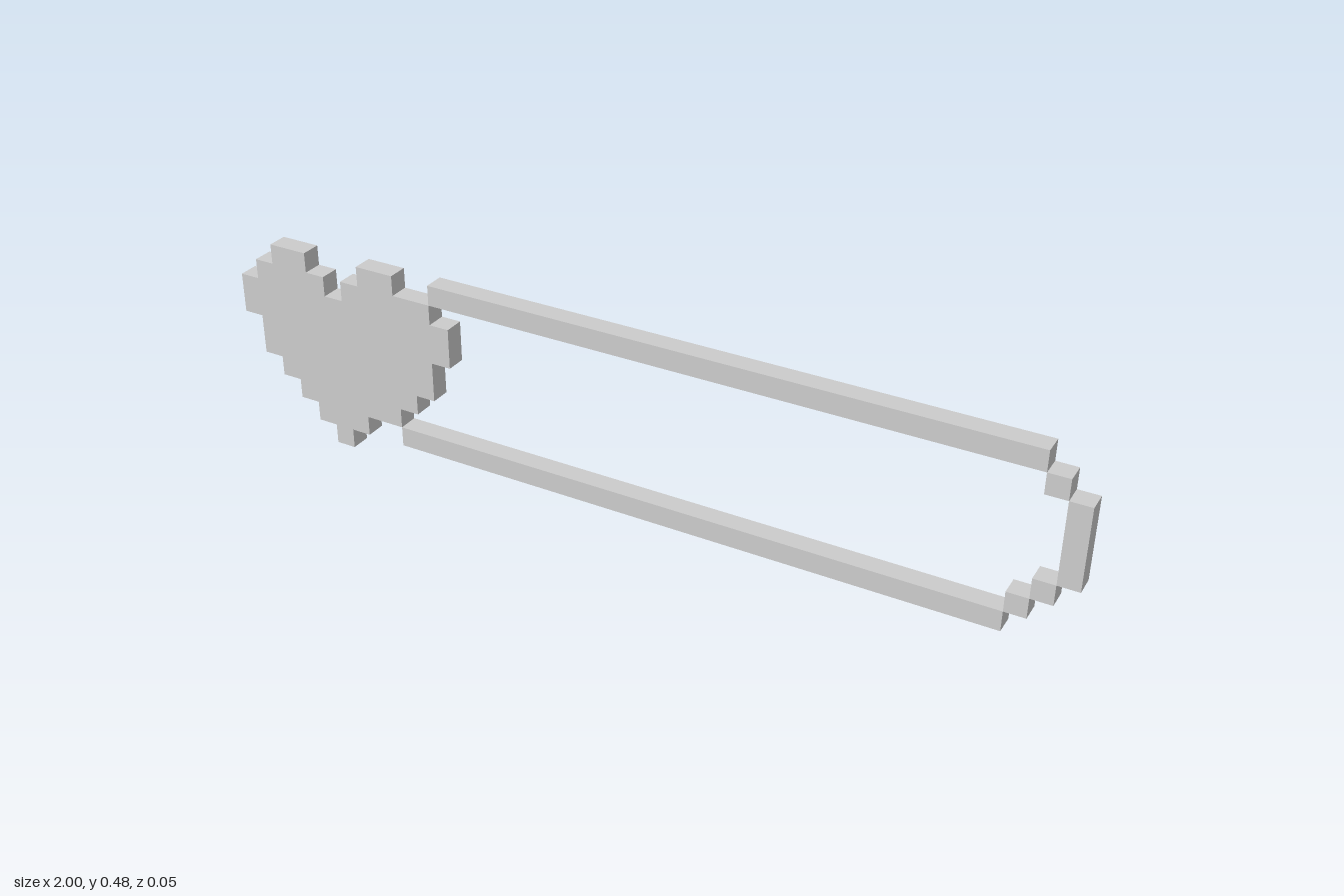
import * as THREE from 'three';

// The whole model sits on a grid of square pixels: 42 wide, 10 high, 1 deep.
const COLUMNS = 42;
const U = 2 / COLUMNS;

export function createModel() {
  const model = new THREE.Group();
  model.name = 'pixelHeartBar';
  const material = new THREE.MeshStandardMaterial({ color: 0xcccccc, flatShading: true });

  const add = (name, geometry) => {
    const mesh = new THREE.Mesh(geometry, material);
    mesh.name = name;
    model.add(mesh);
    return mesh;
  };

  // Block covering a run of pixels, starting at a column and row
  const addBlock = (name, column, row, width, height) => {
    add(name, new THREE.BoxGeometry(width * U, height * U, U))
      .position.set((column + width / 2) * U - 1, (row + height / 2) * U, 0);
  };

  // Heart: stepped outline walked counter-clockwise from the tip,
  // alternating horizontal and vertical moves in pixels
  const steps = [
    1, 1, 1, 1, 2, 1, 1, 1, 1, 2, 1, 2,           // up the right side
    -1, 1, -2, 1, -2, -1, -1, -1,                 // right lobe and notch
    -1, 1, -1, 1, -2, -1, -1, -1, -1, -2,         // left lobe
    1, -2, 1, -1, 1, -1, 1, -1, 1,                // down the left side
  ];
  const cursor = new THREE.Vector2(5, 0);
  const outline = [cursor.clone()];
  steps.forEach((step, i) => {
    if (i % 2 === 0) cursor.x += step;
    else cursor.y += step;
    outline.push(cursor.clone());
  });
  const heartShape = new THREE.Shape(outline.map((p) => p.multiplyScalar(U)));
  const heart = new THREE.ExtrudeGeometry(heartShape, { depth: U, bevelEnabled: false });
  add('heart', heart).position.set(-1, 0, -U / 2);

  // Hollow bar frame with stepped corners at its far end
  addBlock('topRail', 11, 9, 29, 1);
  addBlock('bottomRail', 9, 1, 30, 1);
  addBlock('endPost', 41, 4, 1, 4);
  addBlock('upperCorner', 40, 8, 1, 1);
  addBlock('lowerCornerOuter', 40, 3, 1, 1);
  addBlock('lowerCornerInner', 39, 2, 1, 1);

  return model;
}
